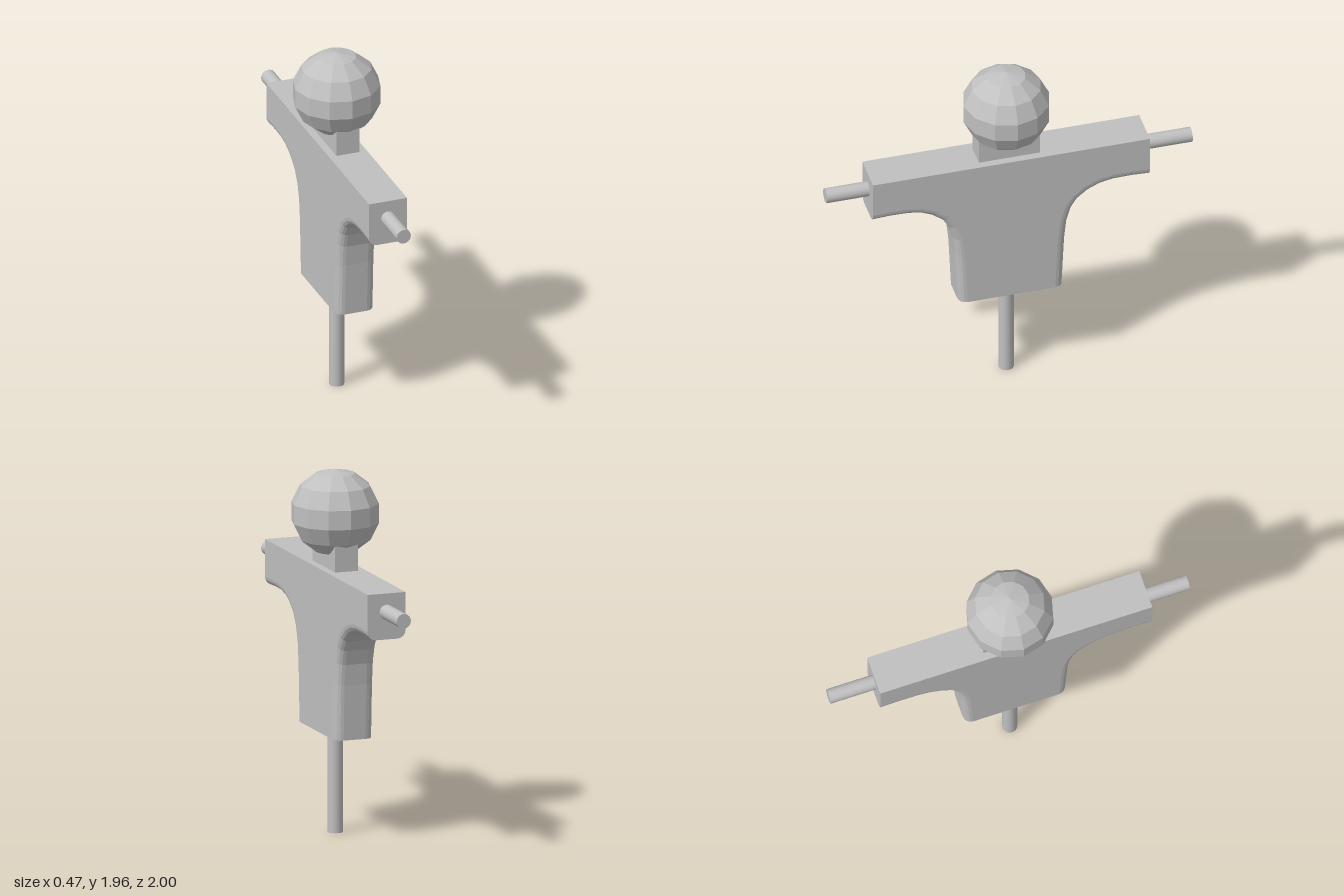
import * as THREE from 'three';

const CZ = 0.01; // body, neck, head and post sit slightly off centre
const W = 0.107; // half thickness of the torso
const R = 0.045; // rounding of the lower torso edges

// One half of the T-shaped torso: rounded sections swept from arm tip to hem.
// Each row: edge point (z, y), then matching point on the top or centre line (z, y).
function torsoHalf() {
  const rows = [
    [0.757, 1.187, 0.757, 1.435], [0.66, 1.192, 0.66, 1.435],
    [0.56, 1.19, 0.53, 1.435], [0.49, 1.177, 0.42, 1.435],
    [0.425, 1.148, 0.28, 1.435], [0.37, 1.104, 0, 1.435],
    [0.333, 1.045, 0, 1.22], [0.31, 0.965, 0, 1.05],
    [0.298, 0.85, 0, 0.88], [0.284, 0.552, 0, 0.552],
  ];
  const rings = rows.map(([pz, py, qz, qy]) => {
    const n = new THREE.Vector2(qz - pz, qy - py).normalize();
    const ring = [[-W, qy, qz]];
    const edge = (x, d) => ring.push([x, py + n.y * d, pz + n.x * d]);
    for (const side of [-1, 1]) {
      for (let k = 0; k <= 4; k++) {
        const a = (side < 0 ? k : 4 - k) * Math.PI / 8;
        edge(side * (W - R + R * Math.cos(a)), R * (1 - Math.sin(a)));
      }
    }
    ring.push([W, qy, qz]);
    return ring;
  });
  const pos = [];
  const tri = (a, b, c) => pos.push(...a, ...b, ...c);
  const m = rings[0].length, last = rings[rings.length - 1];
  for (let i = 0; i < rings.length - 1; i++) {
    for (let j = 0; j < m; j++) {
      const k = (j + 1) % m;
      tri(rings[i][j], rings[i + 1][j], rings[i][k]);
      tri(rings[i][k], rings[i + 1][j], rings[i + 1][k]);
    }
  }
  for (let j = 1; j < m - 1; j++) {
    tri(rings[0][0], rings[0][j], rings[0][j + 1]);
    tri(last[0], last[j + 1], last[j]);
  }
  const g = new THREE.BufferGeometry();
  g.setAttribute('position', new THREE.Float32BufferAttribute(pos, 3));
  g.computeVertexNormals(); // unshared corners give flat facets
  return g;
}

export function createModel() {
  const model = new THREE.Group();
  model.name = 'trainingDummy';
  const grey = new THREE.MeshStandardMaterial({ name: 'plainGrey', color: 0xc0c0c0 });
  const add = (name, geometry, x, y, z, parent = model) => {
    const mesh = new THREE.Mesh(geometry, grey);
    mesh.name = name;
    mesh.position.set(x, y, z);
    parent.add(mesh);
    return mesh;
  };

  // Torso: two matching halves
  const torso = new THREE.Group();
  torso.name = 'torso';
  torso.position.z = CZ;
  model.add(torso);
  const half = torsoHalf();
  add('frontTorso', half, 0, 0, 0, torso);
  add('backTorso', half, 0, 0, 0, torso).rotation.y = Math.PI;

  // Supporting poles
  add('post', new THREE.CylinderGeometry(0.04, 0.04, 0.7, 20), 0, 0.35, CZ);
  add('armPole', new THREE.CylinderGeometry(0.04, 0.04, 2, 20), 0, 1.335, 0).rotation.x = Math.PI / 2;

  // Neck block and faceted ball head
  add('neck', new THREE.BoxGeometry(0.13, 0.18, 0.335), 0, 1.5, CZ);
  const ball = new THREE.SphereGeometry(0.235, 12, 7).toNonIndexed();
  ball.scale(1.02, 0.99, 1.02);
  ball.computeVertexNormals();
  add('head', ball, 0, 1.724, CZ);
  return model;
}
